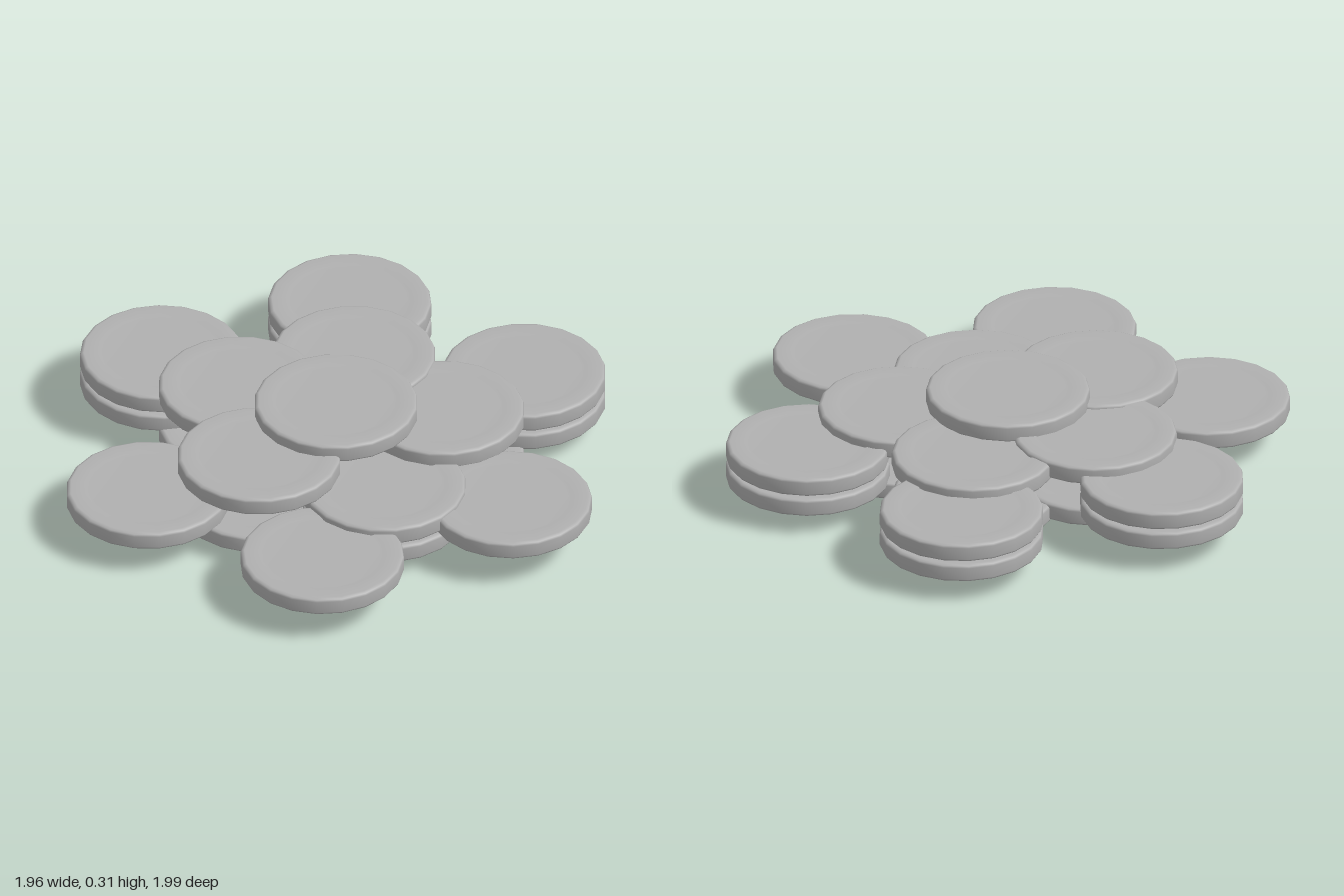
import * as THREE from 'three';

const RADIUS = 0.285, INNER = 0.375, OUTER = 0.728, THICK = 0.068;

export function createModel() {
  const pile = new THREE.Group();
  pile.name = 'discPile';
  const grey = new THREE.MeshStandardMaterial({ color: 0xb0b0b0 });
  grey.name = 'grey';

  // Disc with a rounded rim and a shallow recess on both faces
  const h = THICK / 2;
  const upper = [[RADIUS, h - 0.012], [RADIUS - 0.004, h - 0.005], [RADIUS - 0.014, h],
    [0.213, h - 0.001], [0.205, h - 0.005], [0, h - 0.005]];
  const lower = upper.map(([r, y]) => [r, -y]).reverse();
  const profile = [...lower, ...upper].map(([r, y]) => new THREE.Vector2(r, y));
  const disc = new THREE.LatheGeometry(profile, 20);

  function addDisc(name, ring, degrees, bottom) {
    const a = THREE.MathUtils.degToRad(degrees);
    const mesh = new THREE.Mesh(disc, grey);
    mesh.name = name;
    mesh.position.set(ring * Math.cos(a), bottom + h, ring * Math.sin(a));
    mesh.rotation.y = -a;
    pile.add(mesh);
  }

  // Bottom and top centre discs
  addDisc('bottomDisc', 0, 0, 0);
  addDisc('topDisc', 0, 0, 0.247);

  // Five inner discs in a rising spiral, below and above
  const low = [0.017, 0.027, 0.036, 0.045, 0.055];
  const high = [0.18, 0.19, 0.2, 0.207, 0.133];
  for (let i = 0; i < 5; i++) {
    addDisc('lowerInnerDisc', INNER, -72 * i, low[i]);
    addDisc('upperInnerDisc', INNER, -72 * i, high[i]);
  }

  // Six outer discs rising round the edge, the first three doubled
  const edge = [0.07, 0.08, 0.09, 0.103, 0.112, 0.121];
  edge.forEach((y, i) => {
    const angle = -17.7 - 60 * i;
    addDisc('outerDisc', OUTER, angle, y);
    if (i < 3) addDisc('upperOuterDisc', OUTER, angle, y + 0.079);
  });
  return pile;
}
